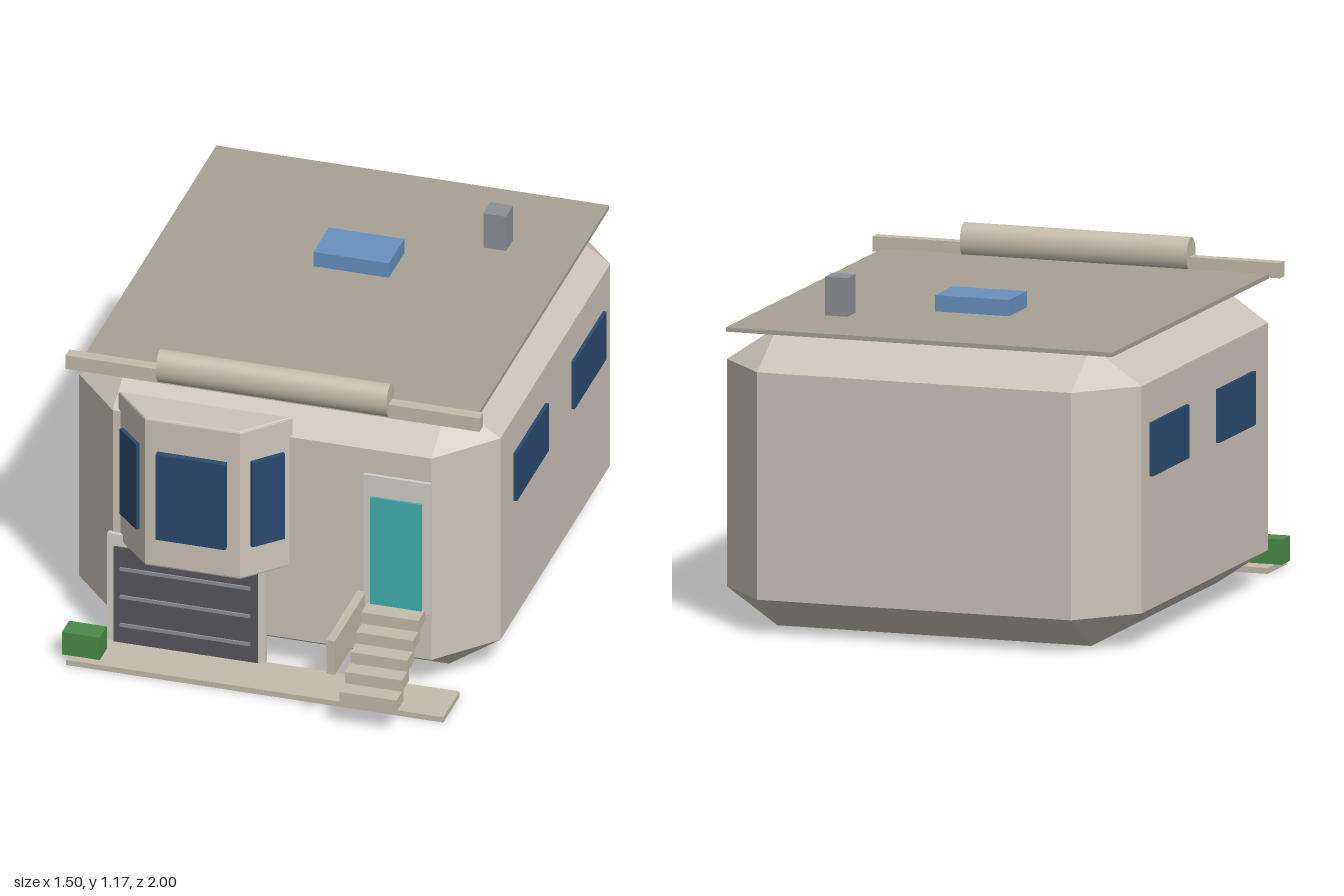
import * as THREE from 'three';
import { ConvexGeometry } from 'three/addons/geometries/ConvexGeometry.js';

const paint = (color, flatShading = true) => new THREE.MeshStandardMaterial({ color, flatShading });

const wall = paint(0xccc4b9);
const trim = paint(0xd4d0c8);
const stone = paint(0xc4bcaa);
const roofing = paint(0xa8a194);
const glass = paint(0x2a4a6e);
const skyGlass = paint(0x6790bf);
const teal = paint(0x40b0b0);
const darkGrey = paint(0x56565c);
const midGrey = paint(0x8c9094);
const leaf = paint(0x4a8a48);

export function createModel() {
  const model = new THREE.Group();

  const add = (name, geometry, material) => {
    const mesh = new THREE.Mesh(geometry, material);
    mesh.name = name;
    model.add(mesh);
    return mesh;
  };
  // Box given by its limits on each axis
  const box = (name, [x0, x1], [y0, y1], [z0, z1], material) => {
    const mesh = add(name, new THREE.BoxGeometry(x1 - x0, y1 - y0, z1 - z0), material);
    mesh.position.set((x0 + x1) / 2, (y0 + y1) / 2, (z0 + z1) / 2);
    return mesh;
  };

  // House body: a box with every edge and corner cut off
  const corners = [];
  const half = new THREE.Vector3(0.74, 0.51, 0.8225);
  const cut = new THREE.Vector3(0.18, 0.122, 0.2);
  for (const sx of [-1, 1]) for (const sy of [-1, 1]) for (const sz of [-1, 1]) {
    for (const axis of ['x', 'y', 'z']) {
      const p = half.clone().sub(cut);
      p[axis] = half[axis];
      corners.push(p.multiply(new THREE.Vector3(sx, sy, sz)));
    }
  }
  add('houseBody', new ConvexGeometry(corners), wall).position.set(0, 0.51, -0.1775);

  // Roof and the things on it
  box('roofSlab', [-0.69, 0.69], [1.02, 1.035], [-0.95, 0.595], roofing);
  box('skylight', [-0.135, 0.13], [1.035, 1.09], [-0.435, -0.26], skyGlass);
  box('chimney', [0.372, 0.452], [1.035, 1.167], [-0.63, -0.55], midGrey);

  // Rolled awning on its bar
  box('awningBar', [-0.73, 0.725], [1.023, 1.075], [0.592, 0.634], stone);
  const roll = new THREE.CylinderGeometry(1, 1, 0.81, 24).rotateZ(Math.PI / 2).scale(1, 0.06, 0.044);
  add('awningRoll', roll, paint(0xc4bcaa, false)).position.set(0, 1.08, 0.613);

  // Windows along both side walls
  for (const side of [-1, 1]) {
    for (const z of [0.115, -0.54]) {
      const pane = box('sideWindow', [-0.01, 0.01], [0.577, 0.76], [z - 0.18, z + 0.18], glass);
      pane.position.x = side * 0.742;
    }
  }

  // Bay window: bevelled trapezoid hung on the front wall
  const bayX = -0.237;
  const plan = new THREE.Shape([
    new THREE.Vector2(-0.295, -0.64), new THREE.Vector2(0.295, -0.64),
    new THREE.Vector2(0.163, -0.776), new THREE.Vector2(-0.163, -0.776),
  ].reverse());
  const bay = new THREE.ExtrudeGeometry(plan, {
    depth: 0.554, bevelThickness: 0.008, bevelSize: 0.008, bevelSegments: 2,
  }).rotateX(-Math.PI / 2);
  add('bayWindow', bay, wall).position.set(bayX, 0.408, 0);
  box('bayFrontPane', [-0.36, -0.115], [0.52, 0.847], [0.78, 0.808], glass);
  for (const side of [-1, 1]) {
    const pane = add('baySidePane', new THREE.BoxGeometry(0.125, 0.327, 0.016), glass);
    pane.position.set(bayX + side * 0.242, 0.6835, 0.712);
    pane.rotation.y = side * 0.795;
  }

  // Garage door with its surround and ribs
  box('garageSurround', [-0.575, -0.02], [0.02, 0.43], [0.64, 0.66], trim);
  box('garageDoor', [-0.55, -0.045], [0.02, 0.385], [0.65, 0.667], darkGrey);
  for (const y of [0.09, 0.198, 0.305]) {
    box('garageRib', [-0.527, -0.07], [y - 0.006, y + 0.006], [0.66, 0.673], midGrey);
  }

  // Entrance
  box('doorSurround', [0.325, 0.56], [0.3, 0.805], [0.635, 0.657], trim);
  box('frontDoor', [0.35, 0.53], [0.305, 0.725], [0.65, 0.666], teal);
  box('stairRail', [0.3, 0.33], [0.218, 0.347], [0.642, 1.0], stone);
  for (let i = 0; i < 5; i++) {
    const y = 0.1 + i * 0.043, z = 0.9 - i * 0.0625;
    box('step', [0.34, 0.54], [y, y + 0.043], [z, z + 0.08], stone);
  }

  // Front path and shrub
  box('frontPath', [-0.665, 0.66], [0, 0.02], [0.65, 0.835], stone);
  box('shrub', [-0.69, -0.557], [0.02, 0.106], [0.722, 0.803], leaf);

  return model;
}
